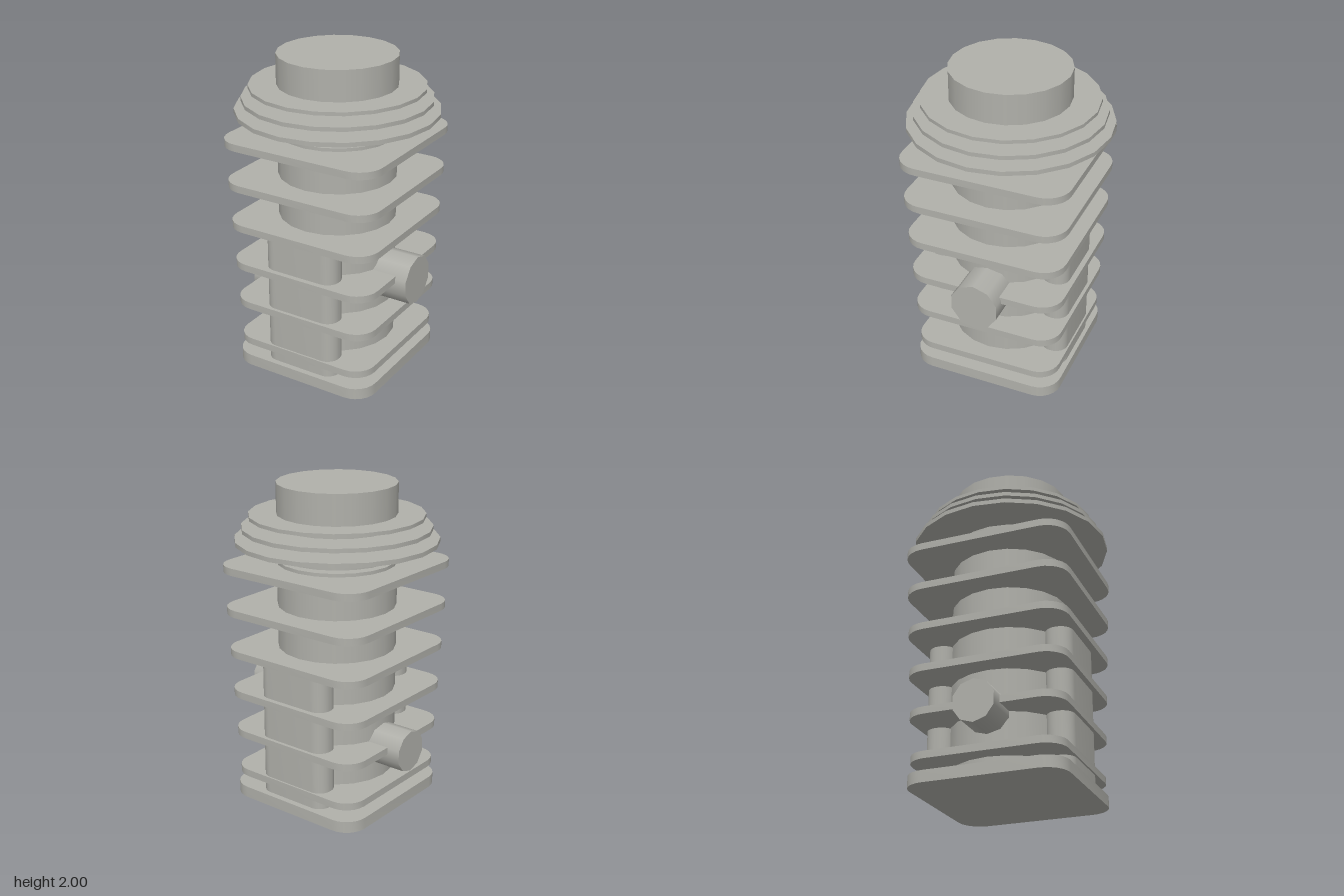
import * as THREE from 'three';
import { toCreasedNormals } from 'three/addons/utils/BufferGeometryUtils.js';

export function createModel() {
  const group = new THREE.Group();
  const metal = new THREE.MeshStandardMaterial({ color: 0xb0b0aa });
  metal.name = 'cast grey metal';

  function add(name, geometry) {
    const mesh = new THREE.Mesh(geometry, metal);
    mesh.name = name;
    group.add(mesh);
    return mesh;
  }

  // Upright cylinder between two heights
  function drum(name, radius, y0, y1) {
    add(name, new THREE.CylinderGeometry(radius, radius, y1 - y0, 20)).position.y = (y0 + y1) / 2;
  }

  // Horizontal rounded slab: half width a, half depth b, corner radius r
  function slab(name, a, b, r, y0, y1, z = 0, segments = 3) {
    const s = new THREE.Shape();
    s.moveTo(a, b - r);
    s.absarc(a - r, b - r, r, 0, Math.PI / 2);
    s.absarc(-a + r, b - r, r, Math.PI / 2, Math.PI);
    s.absarc(-a + r, -b + r, r, Math.PI, Math.PI * 1.5);
    s.absarc(a - r, -b + r, r, Math.PI * 1.5, Math.PI * 2);
    s.closePath();
    const g = new THREE.ExtrudeGeometry(s, { depth: y1 - y0, bevelEnabled: false, curveSegments: segments });
    g.rotateX(-Math.PI / 2);
    add(name, toCreasedNormals(g, 0.65)).position.set(0, y0, z);
  }

  // Barrel, with a narrow gap below the head
  drum('barrel', 0.365, 0.05, 1.535);
  drum('head', 0.365, 1.555, 2);

  // Base flange and square cooling fins, growing upwards
  slab('baseFlange', 0.485, 0.485, 0.14, 0, 0.072);
  for (let i = 0; i < 6; i++) {
    const half = 0.474 + i * 0.011;
    const y = 0.144 + i * 0.265;
    slab('coolingFin', half, half, half * 0.283, y, y + 0.045);
  }

  // Round head fins
  drum('headFin', 0.62, 1.64, 1.667);
  drum('headFin', 0.577, 1.715, 1.74);
  drum('headFin', 0.533, 1.79, 1.812);

  // Transfer ducts at front and back
  for (const side of [1, -1]) {
    slab('transferDuct', 0.247, 0.085, 0.08, 0.083, 0.95, side * 0.378, 4);
  }

  // Side ports, ten-sided
  function port(name, side, y, radius) {
    const g = new THREE.CylinderGeometry(radius, radius, 0.37, 10);
    g.rotateY(Math.PI / 2);
    g.rotateZ(-side * Math.PI / 2);
    add(name, g).position.set(side * 0.385, y, 0);
  }
  port('exhaustPort', 1, 0.655, 0.154);
  port('intakePort', -1, 0.41, 0.131);

  return group;
}
